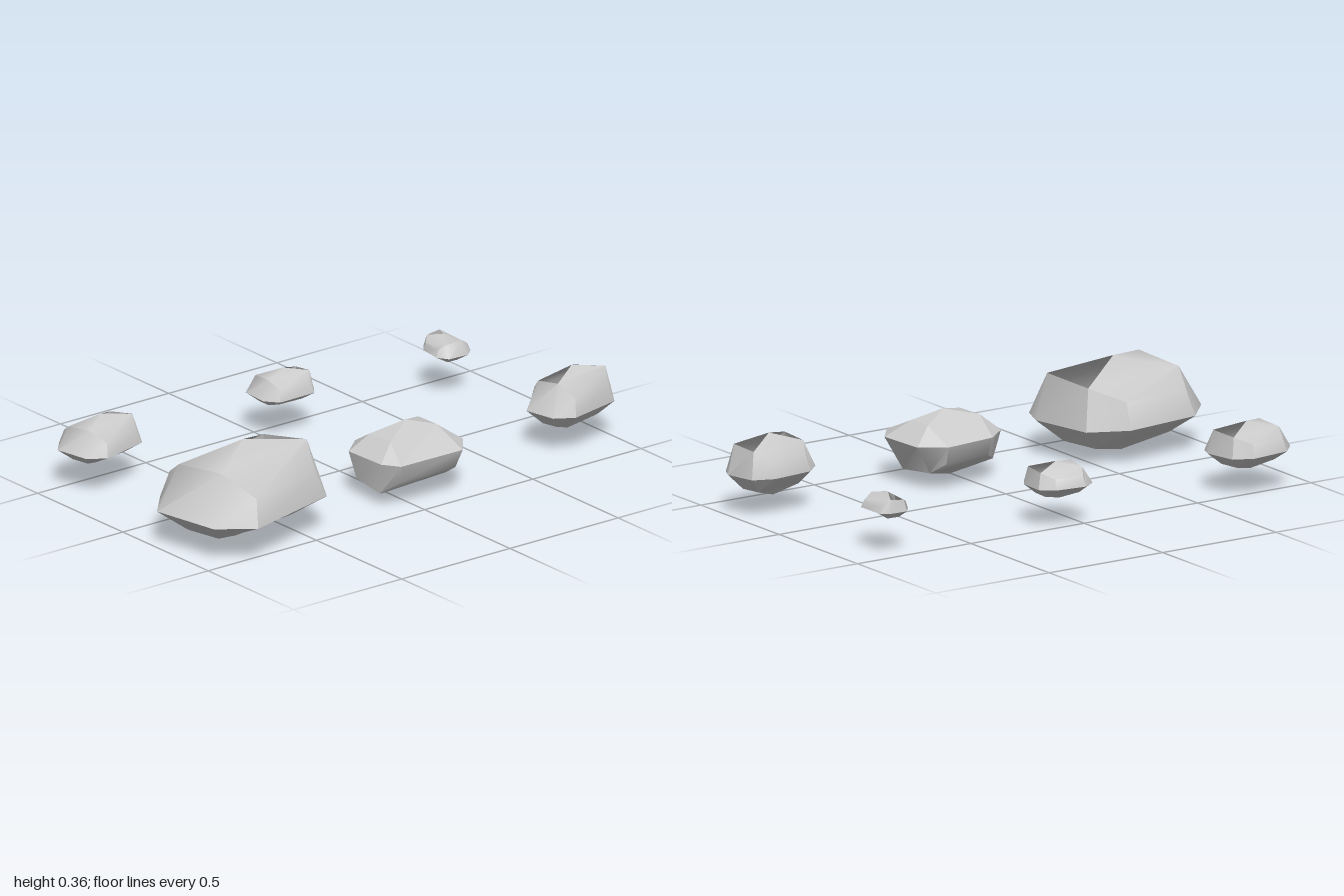
import * as THREE from 'three';
import { toCreasedNormals } from 'three/addons/utils/BufferGeometryUtils.js';

// Stone cross-sections, clockwise from above, as [x, y, z]
const rim = [[.36, .38], [.46, .42], [.565, .82], [.47, .95], [.2, 1], [.08, .89], [.04, .58], [.11, .43]]
  .map(([x, z]) => [x, .14, z]);
const shoulder = [[.33, .32, .41], [.44, .24, .46], [.53, .24, .8], [.41, .32, .87],
  [.2, .3, .9], [.11, .24, .87], [.07, .24, .58], [.14, .295, .46]];
const keel = [[.34, .05, .49], [.37, .05, .85], [.23, .05, .88], [.18, .05, .52]];
const peak = [.27, .362, .66];
const foot = [.28, 0, .7];

function toGeometry(faces) {
  const g = new THREE.BufferGeometry();
  g.setAttribute('position', new THREE.Float32BufferAttribute(faces.flat(2), 3));
  return g;
}

const quad = (a, b, c, d) => [[a, b, c], [a, c, d]];

// Rounded upper shell; the crown may be open at its back or front end
function shellGeometry(openBack, openFront) {
  const f = [];
  for (let i = 0; i < 8; i++) {
    const j = (i + 1) % 8;
    f.push(...quad(rim[j], rim[i], shoulder[i], shoulder[j]));
  }
  const [b, s1, s2, c, d, s5, s6, a] = shoulder;
  f.push(...quad(s2, s1, b, c), ...quad(s6, s5, d, a));
  f.push([c, b, peak], [a, d, peak]);
  if (!openBack) f.push([b, a, peak]);
  if (!openFront) f.push([d, c, peak]);
  return toGeometry(f);
}

// Faceted underside with chamfered corners
function undersideGeometry() {
  const f = [];
  for (let k = 0; k < 4; k++) {
    const n = (k + 1) % 4;
    const r0 = rim[2 * k], r1 = rim[2 * k + 1], r2 = rim[(2 * k + 2) % 8];
    f.push([r0, r1, keel[k]]);
    f.push(...quad(r1, r2, keel[n], keel[k]));
    f.push([keel[k], keel[n], foot]);
  }
  return toGeometry(f);
}

// Turns a stone, then fits it between two corners
function rock({ name, yaw = 0, flip = false, min, max, front = false, back = true }) {
  const group = new THREE.Group();
  group.name = name;
  const parts = [shellGeometry(back, front), undersideGeometry()];
  const box = new THREE.Box3();
  for (const g of parts) {
    if (flip) g.rotateX(Math.PI);
    g.rotateY(yaw);
    g.computeBoundingBox();
    box.union(g.boundingBox);
  }
  const lo = new THREE.Vector3(...min);
  const scale = new THREE.Vector3(...max).sub(lo).divide(box.getSize(new THREE.Vector3()));
  parts.forEach((g, i) => {
    g.translate(-box.min.x, -box.min.y, -box.min.z);
    g.scale(scale.x, scale.y, scale.z);
    g.translate(lo.x, lo.y, lo.z);
    const geo = toCreasedNormals(g, i === 0 ? 0.75 : 0.05);
    const mesh = new THREE.Mesh(geo, new THREE.MeshStandardMaterial({
      color: 0xcccccc, side: THREE.DoubleSide, flatShading: i === 1,
    }));
    mesh.name = i === 0 ? 'shell' : 'underside';
    group.add(mesh);
  });
  return group;
}

export function createModel() {
  const model = new THREE.Group();
  model.name = 'rocks';
  const straight = -0.245; // turns the long sides parallel to z
  const stones = [
    { name: 'largeRock', min: [.04, 0, .38], max: [.565, .362, 1] },
    { name: 'smallFrontRock', min: [-.57, .08, .605], max: [-.31, .262, .915] },
    { name: 'flatRock', yaw: -straight, flip: true, min: [.12, .02, -.275], max: [.465, .27, .13] },
    { name: 'smallMiddleRock', yaw: straight, min: [-.555, .1, -.2], max: [-.36, .24, .03] },
    { name: 'narrowBackRock', min: [.18, .06, -1], max: [.42, .297, -.665], front: true },
    { name: 'pebble', yaw: straight + Math.PI / 2, min: [-.485, .12, -.875], max: [-.31, .22, -.73] },
  ];
  for (const s of stones) model.add(rock(s));
  return model;
}
